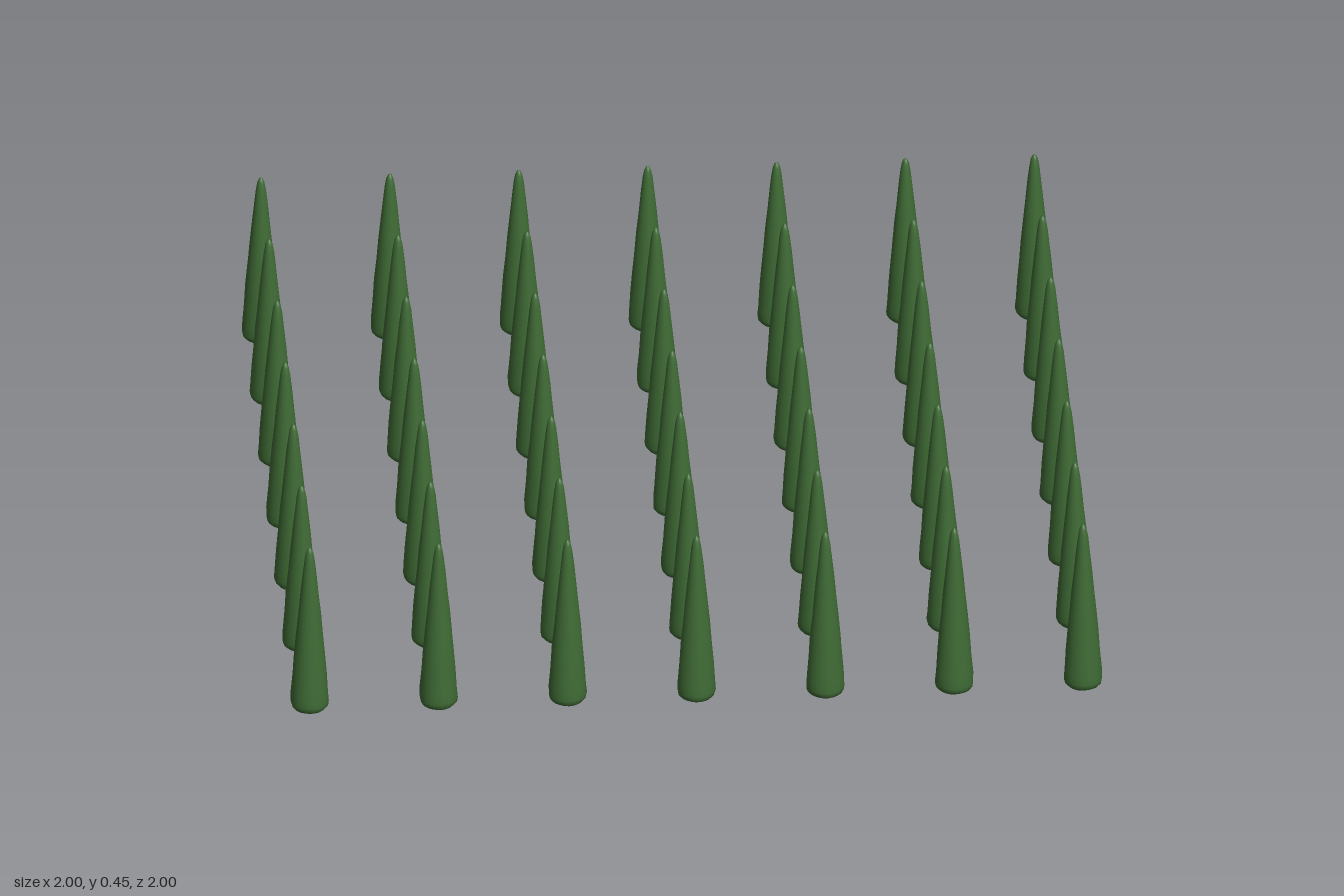
import * as THREE from 'three';

// Slim clipped cone with a rounded foot, rounded tip and a faintly uneven surface
function treeGeometry() {
  const profile = [
    [0, 0], [0.025, 0.001], [0.039, 0.005], [0.045, 0.012], [0.047, 0.022],
    [0.046, 0.045], [0.042, 0.1], [0.038, 0.155], [0.033, 0.21], [0.028, 0.265],
    [0.0225, 0.32], [0.017, 0.375], [0.0125, 0.415], [0.009, 0.435], [0.005, 0.445], [0, 0.449],
  ].map(([r, y]) => new THREE.Vector2(r, y));
  const geometry = new THREE.LatheGeometry(profile, 20);
  const pos = geometry.attributes.position;
  for (let i = 0; i < pos.count; i++) {
    const x = pos.getX(i), y = pos.getY(i), z = pos.getZ(i);
    const angle = Math.atan2(z, x);
    const bump = 1 + 0.015 * Math.sin(5 * angle + y * 70) + 0.012 * Math.cos(3 * angle - y * 110);
    pos.setXYZ(i, x * bump, y, z * bump);
  }
  // Normals stay those of the smooth lathe, so no seam shows
  return geometry;
}

export function createModel() {
  const model = new THREE.Group();
  model.name = 'treeGrid';
  const geometry = treeGeometry();
  const foliage = new THREE.MeshStandardMaterial({ color: 0x3f6b35 });

  // Seven by seven grid of identical trees, each turned a little differently
  const count = 7, spacing = 0.317;
  for (let row = 0; row < count; row++) {
    for (let column = 0; column < count; column++) {
      const tree = new THREE.Mesh(geometry, foliage);
      tree.name = `coniferRow${row + 1}Column${column + 1}`;
      tree.position.set((column - 3) * spacing, 0, (row - 3) * spacing);
      tree.rotation.y = (row * count + column) * 2.4;
      model.add(tree);
    }
  }
  return model;
}
